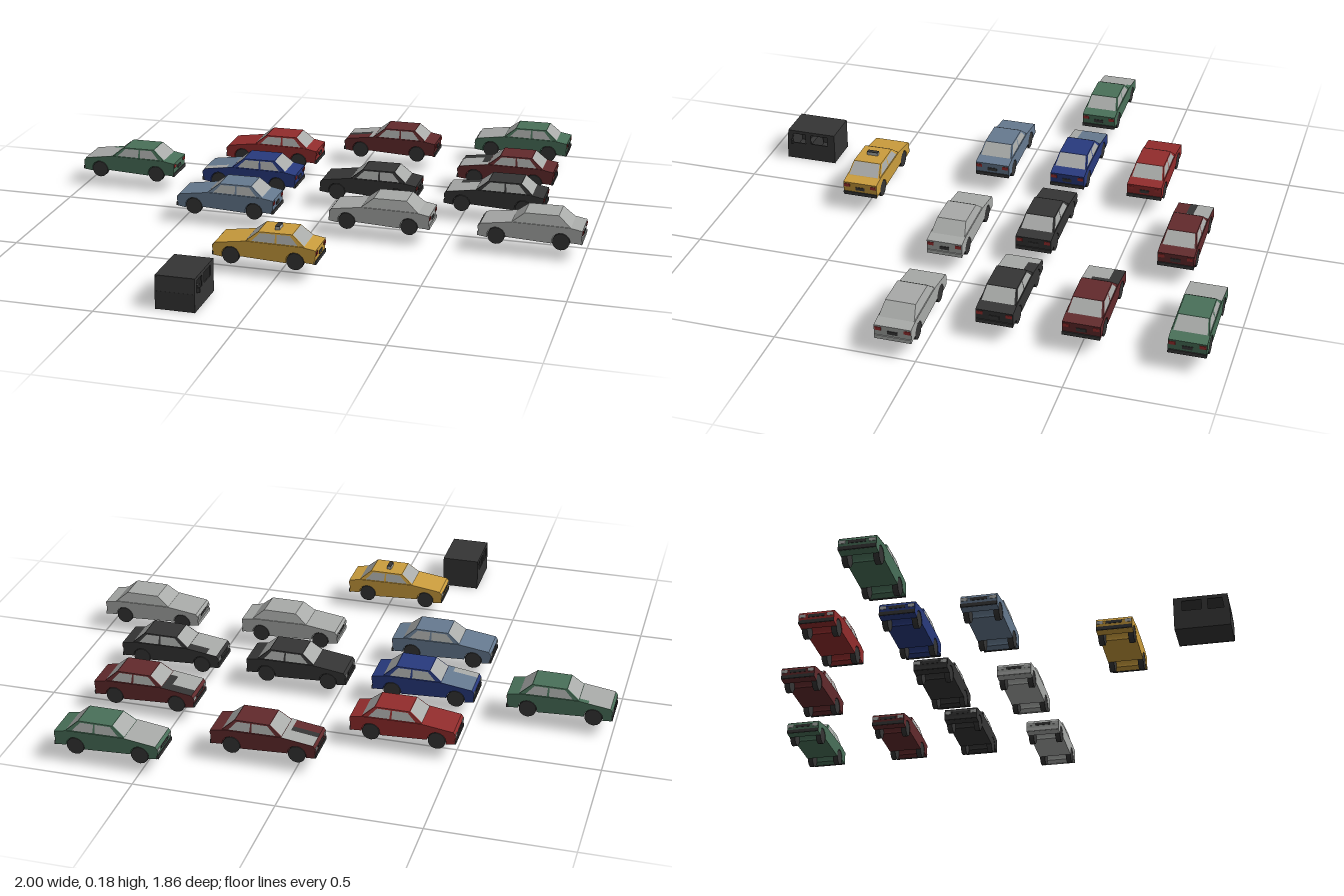
import * as THREE from 'three';

const mat = (name, color) => new THREE.MeshStandardMaterial({ name, color, side: THREE.DoubleSide });
const L = 0.183, W = 0.065; // half length and half width of a saloon body

function add(group, name, geometry, material, x = 0, y = 0, z = 0) {
  const mesh = new THREE.Mesh(geometry, material);
  mesh.name = name;
  mesh.position.set(x, y, z);
  group.add(mesh);
  return mesh;
}

// Rectangle cut out of the quad a,b,c,d (counter-clockwise), lifted along its normal
function panel([a, b, c, d], u0 = 0, u1 = 1, v0 = 0, v1 = 1, lift = 0) {
  const [A, B, C, D] = [a, b, c, d].map(p => new THREE.Vector3(...p));
  const n = B.clone().sub(A).cross(D.clone().sub(A)).normalize().multiplyScalar(lift);
  const at = (u, v) => A.clone().lerp(B, u).lerp(D.clone().lerp(C, u), v).add(n);
  const p = [at(u0, v0), at(u1, v0), at(u1, v1), at(u0, v1)];
  const g = new THREE.BufferGeometry().setFromPoints(p);
  g.setIndex([0, 1, 2, 0, 2, 3]);
  g.computeVertexNormals();
  return g;
}

// Lower body outline with two wheel arches
function bodyGeometry() {
  const s = new THREE.Shape();
  s.moveTo(-L, 0.066);
  s.lineTo(-0.152, 0.062);
  s.absarc(-0.12, 0.07, 0.033, Math.PI, 0, true);
  s.lineTo(0.08, 0.062);
  s.absarc(0.112, 0.07, 0.033, Math.PI, 0, true);
  s.lineTo(L, 0.068);
  s.lineTo(0.1865, 0.118);
  s.lineTo(0.14, 0.126);
  s.lineTo(-0.067, 0.128);
  s.lineTo(-0.178, 0.112);
  s.lineTo(-0.186, 0.1);
  const g = new THREE.ExtrudeGeometry(s, { depth: 2 * W, bevelEnabled: false, curveSegments: 8 });
  return g.translate(0, 0, -W);
}

// Corner loops of the cabin faces and the hood
const B = 0.062, R = 0.053;
const fb = z => [-0.067, 0.127, z], rb = z => [0.145, 0.125, z];
const fr = z => [-0.022, 0.163, z], rr = z => [0.1, 0.164, z];
const faces = {
  windshield: [fb(-B), fb(B), fr(R), fr(-R)],
  rearWindow: [rb(B), rb(-B), rr(-R), rr(R)],
  leftSide: [fb(B), rb(B), rr(R), fr(R)],
  rightSide: [rb(-B), fb(-B), fr(-R), rr(-R)],
  roof: [fr(R), rr(R), rr(-R), fr(-R)],
};
const hood = [[-0.178, 0.112, W], [-0.067, 0.128, W], [-0.067, 0.128, -W], [-0.178, 0.112, -W]];

function makeCar(m, body, bumper, patches) {
  const car = new THREE.Group();
  add(car, 'body', bodyGeometry(), body);

  // Cabin shell and glass
  for (const [name, quad] of Object.entries(faces)) {
    add(car, name + 'Frame', panel(quad), body);
    if (name === 'roof') continue;
    if (name.endsWith('Side')) {
      const ranges = name === 'leftSide' ? [[0.09, 0.5], [0.54, 0.9]] : [[0.1, 0.46], [0.5, 0.91]];
      for (const [u0, u1] of ranges) add(car, name + 'Window', panel(quad, u0, u1, 0.08, 0.88, 0.001), m.gray);
    } else add(car, name, panel(quad, 0.04, 0.96, 0.04, 0.97, 0.001), m.gray);
  }

  // Painted areas of the hood
  for (const [material, u0, u1, v0, v1] of patches)
    add(car, 'hoodPanel', panel(hood, u0, u1, v0, v1, 0.001), material);

  // Wheels
  const tyre = new THREE.CylinderGeometry(0.031, 0.031, 0.02, 14).rotateX(Math.PI / 2);
  for (const x of [-0.12, 0.112]) for (const z of [-0.054, 0.054])
    add(car, 'wheel', tyre, m.black, x, 0.07, z);

  // Bumpers, lights and number plate
  const bar = new THREE.BoxGeometry(0.008, 0.013, 0.13);
  add(car, 'frontBumper', bar, bumper, -0.1835, 0.073, 0);
  add(car, 'rearBumper', bar, bumper, 0.1835, 0.073, 0);
  const lamp = new THREE.BoxGeometry(0.003, 0.012, 0.022);
  for (const z of [-0.051, 0.051]) {
    add(car, 'headlight', lamp, m.gray, -0.1855, 0.096, z);
    add(car, 'tailLight', lamp, m.red, 0.1865, 0.106, z);
  }
  add(car, 'numberPlate', new THREE.BoxGeometry(0.003, 0.012, 0.035), m.black, 0.186, 0.095, 0);
  add(car, 'grille', new THREE.BoxGeometry(0.003, 0.011, 0.06), m.black, -0.1855, 0.095, 0);
  return car;
}

// Hollow box van with open side windows
function makeVan(m) {
  const van = new THREE.Group();
  const side = new THREE.Shape();
  [[-0.098, 0], [0.098, 0], [0.098, 0.065], [0.092, 0.12], [-0.098, 0.12]].forEach(([z, y], i) =>
    i ? side.lineTo(z, y) : side.moveTo(z, y));
  for (const pts of [[[0.078, 0.068], [0.072, 0.107], [0.022, 0.107], [0.022, 0.068]],
    [[0, 0.07], [0, 0.107], [-0.068, 0.107], [-0.068, 0.07]]])
    side.holes.push(new THREE.Path(pts.map(p => new THREE.Vector2(...p))));
  const wall = new THREE.ExtrudeGeometry(side, { depth: 0.004, bevelEnabled: false });
  wall.rotateY(-Math.PI / 2); // outline runs along z, thickness towards -x
  add(van, 'leftWall', wall, m.black, 0.07);
  add(van, 'rightWall', wall, m.black, -0.066);
  add(van, 'roof', new THREE.BoxGeometry(0.138, 0.004, 0.19), m.black, 0, 0.118, -0.003);
  add(van, 'floor', new THREE.BoxGeometry(0.138, 0.006, 0.194), m.black, 0, 0.004, 0);
  add(van, 'backWall', new THREE.BoxGeometry(0.138, 0.116, 0.004), m.black, 0, 0.06, -0.096);
  add(van, 'nose', new THREE.BoxGeometry(0.138, 0.065, 0.004), m.black, 0, 0.033, 0.096);
  add(van, 'windshield', new THREE.BoxGeometry(0.138, 0.054, 0.003), m.black, 0, 0.092, 0.093).rotation.x = -0.11;
  add(van, 'seat', new THREE.BoxGeometry(0.11, 0.06, 0.02), m.black, 0, 0.036, 0.01);
  add(van, 'mirror', new THREE.BoxGeometry(0.012, 0.018, 0.008), m.black, 0.075, 0.075, 0.075);
  return van;
}

export function createModel() {
  const m = {
    gray: mat('light gray', 0xa8aaa8), green: mat('green', 0x497059), darkRed: mat('dark red', 0x622a2c),
    red: mat('red', 0x922c2c), blue: mat('deep blue', 0x283a7e), slate: mat('slate blue', 0x667a90),
    black: mat('charcoal', 0x353535), yellow: mat('yellow', 0xcb9d3d),
  };
  const { gray, black, slate } = m;
  const full = c => [c, 0, 1, 0, 1];

  // name, x, z, body colour, hood areas
  const cars = [
    ['greenCarBack', 0.617, -0.865, m.green, [full(gray)]],
    ['darkRedCarBack', 0.11, -0.72, m.darkRed,
      [[gray, 0, 1, 0.55, 1], [black, 0, 0.85, 0.35, 0.55], [gray, 0.85, 1, 0, 0.55]]],
    ['redCar', -0.323, -0.51, m.red, []],
    ['darkRedCarRight', 0.617, -0.51, m.darkRed,
      [[gray, 0, 0.75, 0, 0.7], [black, 0, 1, 0.7, 1], [black, 0.75, 1, 0.25, 0.7], [gray, 0.75, 1, 0, 0.25]]],
    ['greenCarLeft', -0.813, -0.215, m.green, [[gray, 0, 1, 0, 0.85], [gray, 0, 0.7, 0.85, 1]]],
    ['blueCar', -0.323, -0.215, m.blue, [[slate, 0, 1, 0.25, 1], [gray, 0, 0.8, 0, 0.25], [slate, 0.8, 1, 0, 0.25]]],
    ['blackCarMiddle', 0.147, -0.215, black, []],
    ['blackCarRight', 0.627, -0.215, black, [[gray, 0, 1, 0, 0.7], [gray, 0, 0.35, 0.7, 1]]],
    ['slateCar', -0.323, 0.078, slate, []],
    ['grayCarMiddle', 0.262, 0.078, gray, []],
    ['grayCarRight', 0.811, 0.078, gray, []],
    ['taxi', -0.04, 0.506, m.yellow, []],
  ];

  const model = new THREE.Group();
  model.name = 'carPark';
  for (const [name, x, z, body, patches] of cars) {
    const car = makeCar(m, body, body === gray ? gray : black, patches);
    car.name = name;
    car.position.set(x, 0, z);
    model.add(car);
    if (name === 'taxi') { // roof sign
      add(car, 'roofSign', new THREE.BoxGeometry(0.016, 0.012, 0.042), gray, 0.037, 0.169, 0);
      add(car, 'roofSignTop', new THREE.BoxGeometry(0.016, 0.002, 0.042), black, 0.037, 0.176, 0);
    }
  }
  const van = makeVan(m);
  van.name = 'van';
  van.position.set(-0.238, 0, 0.827);
  model.add(van);
  return model;
}
